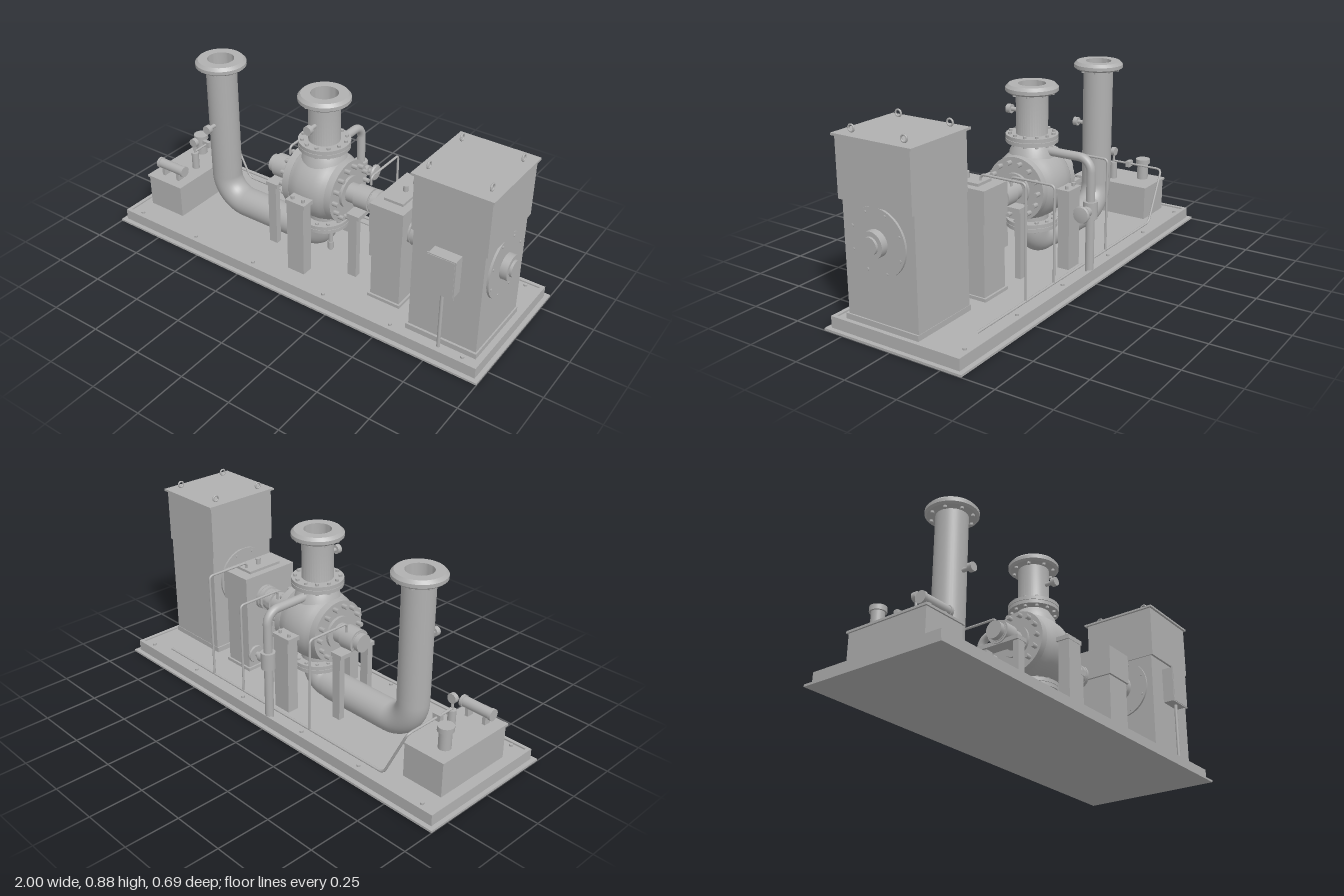
import * as THREE from 'three';
import { toCreasedNormals } from 'three/addons/utils/BufferGeometryUtils.js';

const steel = new THREE.MeshStandardMaterial({ color: 0xb0b0b0 });
steel.name = 'machineGrey';

export function createModel() {
  const model = new THREE.Group();
  model.name = 'pumpSkid';
  const SHAFT = 0.423, MOTOR_Z = 0.083;

  const add = (name, geo, x = 0, y = 0, z = 0) => {
    const m = new THREE.Mesh(geo, steel);
    m.name = name;
    m.position.set(x, y, z);
    model.add(m);
    return m;
  };
  // Box given by its limits on each axis
  const box = (name, x0, x1, y0, y1, z0, z1) =>
    add(name, new THREE.BoxGeometry(x1 - x0, y1 - y0, z1 - z0), (x0 + x1) / 2, (y0 + y1) / 2, (z0 + z1) / 2);
  const turn = (geo, axis) => {
    if (axis === 'x') geo.rotateZ(-Math.PI / 2);
    if (axis === 'z') geo.rotateX(Math.PI / 2);
    return geo;
  };
  // Cylinder running from a to b along one axis; c = the other two coordinates in xyz order
  const cyl = (name, axis, r, a, b, c, sides = 32) => {
    const p = axis === 'x' ? [(a + b) / 2, ...c] : axis === 'y' ? [c[0], (a + b) / 2, c[1]] : [...c, (a + b) / 2];
    return add(name, turn(new THREE.CylinderGeometry(r, r, b - a, sides), axis), ...p);
  };
  const lathe = (name, axis, pts, x, y, z, sides = 40) => {
    const g = new THREE.LatheGeometry(pts.map(p => new THREE.Vector2(...p)), sides);
    return add(name, toCreasedNormals(turn(g, axis), 0.5), x, y, z);
  };
  // Ring of hexagonal bolts around an axis
  const boltRing = (name, axis, n, R, r, a, b, c) => {
    for (let i = 0; i < n; i++) {
      const t = (i + 0.5) / n * Math.PI * 2;
      cyl(name, axis, r, a, b, [c[0] + R * Math.cos(t), c[1] + R * Math.sin(t)], 6);
    }
  };
  // Pipe through corner points, each corner rounded with a bend
  const pipe = (name, r, bend, pts, sides = 10) => {
    const v = pts.map(p => new THREE.Vector3(...p)), path = new THREE.CurvePath();
    let from = v[0];
    for (let i = 1; i < v.length - 1; i++) {
      const a = v[i].clone().add(v[i - 1].clone().sub(v[i]).setLength(bend));
      const b = v[i].clone().add(v[i + 1].clone().sub(v[i]).setLength(bend));
      const k = 0.5523;
      path.add(new THREE.LineCurve3(from, a));
      path.add(new THREE.CubicBezierCurve3(a, a.clone().lerp(v[i], k), b.clone().lerp(v[i], k), b));
      from = b;
    }
    path.add(new THREE.LineCurve3(from, v[v.length - 1]));
    return add(name, new THREE.TubeGeometry(path, 40 * (v.length - 1), r, sides));
  };

  // Base plate with a shallow raised rim
  box('baseFlange', -1, 1, 0, 0.01, -0.347, 0.347);
  box('baseDeck', -0.98, 0.98, 0.01, 0.055, -0.325, 0.325);
  for (const s of [-1, 1]) {
    add('baseRim', new THREE.BoxGeometry(1.96, 0.012, 0.018), 0, 0.056, s * 0.316);
    add('baseRim', new THREE.BoxGeometry(0.018, 0.012, 0.65), s * 0.971, 0.056, 0);
    for (const x of [-0.9, -0.55, -0.2, 0.2, 0.55, 0.9]) cyl('anchorBolt', 'y', 0.009, 0.05, 0.064, [x, s * 0.29], 8);
  }

  // Drive motor
  box('motorFoot', 0.612, 0.95, 0.055, 0.08, -0.105, 0.268);
  box('motorBody', 0.62, 0.943, 0.08, 0.57, -0.103, 0.257);
  box('motorHood', 0.615, 0.955, 0.568, 0.823, -0.103, 0.268);
  box('motorLid', 0.604, 0.964, 0.823, 0.833, -0.116, 0.279);
  for (const x of [0.647, 0.919]) for (const z of [-0.048, 0.213])
    add('liftingEye', new THREE.TorusGeometry(0.014, 0.004, 8, 20).rotateY(Math.PI / 2), x, 0.851, z);
  const mc = [SHAFT, MOTOR_Z];
  cyl('motorEndPlate', 'x', 0.145, 0.94, 0.953, mc, 48);
  cyl('motorHub', 'x', 0.057, 0.95, 0.985, mc);
  cyl('motorHubCap', 'x', 0.037, 0.98, 0.996, mc);
  cyl('motorDrivePlate', 'x', 0.145, 0.61, 0.622, mc, 48);
  boltRing('motorPlateBolt', 'x', 8, 0.128, 0.006, 0.95, 0.957, mc);
  boltRing('motorPlateBolt', 'x', 8, 0.128, 0.006, 0.606, 0.612, mc);
  box('terminalBox', 0.722, 0.845, 0.35, 0.525, 0.25, 0.318);
  box('terminalBoxCover', 0.717, 0.85, 0.345, 0.53, 0.31, 0.316);
  cyl('cableConduit', 'y', 0.008, 0.05, 0.36, [0.785, 0.287], 12);

  // Motor coupling
  cyl('motorCouplingHub', 'x', 0.045, 0.515, 0.615, mc);
  cyl('motorCoupling', 'x', 0.065, 0.54, 0.568, mc);
  cyl('motorCoupling', 'x', 0.065, 0.572, 0.6, mc);

  // Gearbox
  box('gearboxFoot', 0.36, 0.525, 0.055, 0.07, -0.115, 0.18);
  box('gearboxBase', 0.37, 0.517, 0.07, 0.43, -0.105, 0.17);
  box('gearboxHousing', 0.36, 0.525, 0.4, 0.545, -0.115, 0.18);
  box('gearboxCover', 0.395, 0.49, 0.545, 0.557, -0.06, 0.125);
  cyl('gearboxBreather', 'y', 0.011, 0.55, 0.585, [0.443, 0.03], 12);
  cyl('gearboxBearing', 'x', 0.06, 0.345, 0.365, [SHAFT, 0]);
  cyl('gearboxBearing', 'x', 0.06, 0.52, 0.533, mc);

  // Pump coupling
  lathe('pumpCoupling', 'x', [[0, 0.26], [0.042, 0.26], [0.042, 0.272], [0.056, 0.272], [0.056, 0.298], [0.05, 0.3],
    [0.05, 0.325], [0.058, 0.327], [0.058, 0.352], [0, 0.352]], 0, SHAFT, 0);

  // Pump casing and its bearing housings
  lathe('pumpCasing', 'x', [[0, -0.13], [0.14, -0.13], [0.143, -0.1], [0.155, -0.075], [0.163, -0.04], [0.165, 0],
    [0.163, 0.04], [0.155, 0.075], [0.143, 0.1], [0.14, 0.13], [0, 0.13]], 0, SHAFT, 0, 48);
  for (const s of [-1, 1]) {
    const span = (a, b) => s > 0 ? [a, b] : [-b, -a];
    cyl('casingCover', 'x', 0.146, ...span(0.098, 0.132), [SHAFT, 0], 48);
    boltRing('casingBolt', 'x', 14, 0.122, 0.011, ...span(0.13, 0.16), [SHAFT, 0]);
    cyl('sealHousing', 'x', 0.075, ...span(0.13, 0.145), [SHAFT, 0]);
    cyl('bearingHousing', 'x', 0.046, ...span(0.14, 0.265), [SHAFT, 0]);
    cyl('bearingBlock', 'x', 0.055, ...span(0.19, 0.262), [SHAFT, 0]);
    // Bearing support stand
    const x = s * 0.225;
    box('bearingSaddle', x - 0.032, x + 0.032, 0.365, 0.385, -0.105, 0.105);
    for (const z of [-0.088, 0.088]) box('bearingPost', x - 0.022, x + 0.022, 0.05, 0.37, z - 0.015, z + 0.015);
    // Main pedestals at the front and back of the casing
    const z0 = s > 0 ? 0.168 : -0.225, z1 = s > 0 ? 0.225 : -0.168;
    box('pumpPedestal', -0.045, 0.045, 0.05, 0.412, z0, z1);
    box('pumpFoot', -0.052, 0.052, 0.41, 0.43, s > 0 ? 0.1 : -0.227, s > 0 ? 0.227 : -0.1);
    for (const bx of [-0.028, 0.028]) cyl('pumpFootBolt', 'y', 0.009, 0.43, 0.445, [bx, s * 0.202], 6);
  }
  cyl('bearingEndCap', 'x', 0.042, -0.29, -0.26, [SHAFT, 0]);

  // Nozzle ends: raised rim, open bore
  const endFlange = [[0.108, 0.838], [0.118, 0.846], [0.118, 0.862], [0.105, 0.876],
    [0.062, 0.876], [0.062, 0.72], [0, 0.72]];
  lathe('dischargeNozzle', 'y', [[0.115, 0.5], [0.1, 0.575], [0.08, 0.605], [0.072, 0.62], [0.072, 0.838], ...endFlange], 0, 0, 0);
  lathe('suctionNozzle', 'y', [[0.072, 0.3], [0.072, 0.838], ...endFlange], -0.585, 0, 0);
  for (const x of [0, -0.585]) boltRing('nozzleBolt', 'y', 8, 0.093, 0.009, 0.828, 0.846, [x, 0]);
  // Bolted flange pairs above and below the casing
  for (const [y, h] of [[0.632, 0.028], [0.235, 0.026]]) {
    cyl('pipeFlange', 'y', 0.118, y - 0.018, y - 0.001, [0, 0], 40);
    cyl('pipeFlange', 'y', 0.118, y + 0.001, y + 0.018, [0, 0], 40);
    boltRing('pipeFlangeBolt', 'y', 12, 0.1, 0.009, y - h, y + h, [0, 0]);
  }
  cyl('suctionNeck', 'y', 0.075, 0.22, 0.34, [0, 0]);

  // Suction pipe: down, along the deck, up into the casing
  pipe('suctionElbow', 0.0715, 0.13, [[-0.585, 0.4, 0], [-0.585, 0.135, 0], [-0.1, 0.135, 0]], 32);
  pipe('suctionRun', 0.0675, 0.077, [[-0.25, 0.135, 0], [0, 0.135, 0], [0, 0.235, 0]], 32);
  cyl('drainPipe', 'y', 0.011, 0.09, 0.21, [0.057, 0.03], 12);
  cyl('drainCap', 'y', 0.015, 0.1, 0.135, [0.057, 0.03], 12);

  // Instrument ports on the nozzles
  for (const [x, y] of [[-0.585, 0.555], [0, 0.745]]) {
    cyl('instrumentStem', 'z', 0.01, 0.06, 0.115, [x, y], 12);
    cyl('instrumentHead', 'z', 0.021, 0.108, 0.13, [x, y], 20);
  }

  // Balance line behind the pump with its valve
  pipe('balanceLine', 0.02, 0.06, [[-0.005, 0.05, -0.304], [-0.005, 0.578, -0.304], [-0.005, 0.578, -0.04]], 16);
  cyl('valveBody', 'y', 0.033, 0.305, 0.385, [-0.005, -0.304], 20);
  cyl('valveStem', 'x', 0.012, 0, 0.085, [0.345, -0.304], 12);
  cyl('valveBonnet', 'x', 0.024, 0.02, 0.045, [0.345, -0.304], 16);
  lathe('valveWheel', 'x', [[0, 0.068], [0.038, 0.068], [0.04, 0.076], [0.037, 0.084], [0, 0.092]], 0, 0.345, -0.306, 16);

  // Lubricating oil console
  box('oilTank', -0.925, -0.722, 0.05, 0.215, -0.205, 0.197);
  box('oilTankLid', -0.932, -0.715, 0.213, 0.223, -0.212, 0.204);
  cyl('oilFilter', 'y', 0.028, 0.22, 0.31, [-0.86, -0.12], 24);
  cyl('oilFilterCap', 'y', 0.036, 0.305, 0.328, [-0.86, -0.12], 24);
  cyl('oilCooler', 'x', 0.024, -0.89, -0.75, [0.277, 0.14], 24);
  for (const x of [-0.9, -0.75]) cyl('oilCoolerEnd', 'x', 0.027, x, x + 0.013, [0.277, 0.14], 24);
  for (const x of [-0.865, -0.775]) box('oilCoolerLeg', x - 0.008, x + 0.008, 0.22, 0.265, 0.122, 0.158);
  cyl('oilPump', 'y', 0.018, 0.22, 0.31, [-0.785, 0.01], 20);
  cyl('gaugeStem', 'y', 0.006, 0.3, 0.36, [-0.785, 0.01], 10);
  cyl('gauge', 'z', 0.022, 0, 0.02, [-0.785, 0.365], 24);
  box('oilValve', -0.805, -0.765, 0.3, 0.33, -0.09, -0.07);

  // Oil supply header and branches to the bearings and gearbox
  pipe('oilSupply', 0.0055, 0.02, [[-0.785, 0.315, 0.01], [-0.785, 0.315, -0.262], [-0.665, 0.068, -0.262], [0.785, 0.068, -0.262]]);
  for (const [x, y, end] of [[-0.225, 0.512, 0.47], [0.225, 0.512, 0.47], [0.443, 0.583, 0.54]])
    pipe('oilBranch', 0.0055, 0.018, [[x, 0.068, -0.262], [x, y, -0.262], [x, y, -0.04], [x, end, -0.04]]);

  return model;
}
